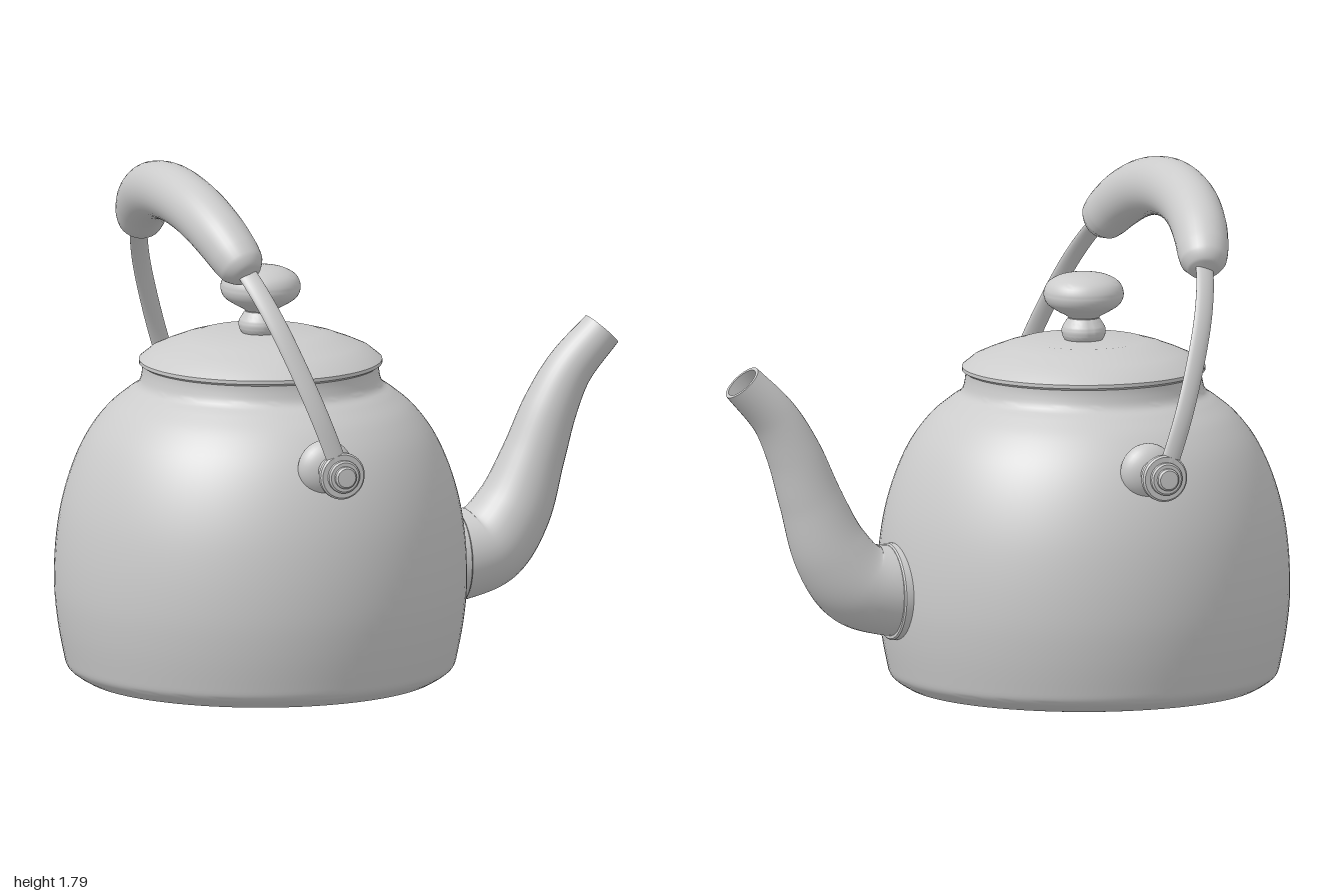
import * as THREE from 'three';
import { toCreasedNormals } from 'three/addons/utils/BufferGeometryUtils.js';

const AXIS = -0.3; // x of the pot's centre line
const TILT = 0.352; // lean of the handle
const material = new THREE.MeshStandardMaterial({ color: 0xcccccc });
const inside = new THREE.MeshStandardMaterial({ color: 0xcccccc, side: THREE.BackSide });
const both = new THREE.MeshStandardMaterial({ color: 0xcccccc, side: THREE.DoubleSide });

function part(parent, name, geometry, mat = material) {
  const mesh = new THREE.Mesh(geometry, mat);
  mesh.name = name;
  parent.add(mesh);
  return mesh;
}

// Turned shape from [radius, height] pairs, listed bottom to top
function turned(points, segments = 72) {
  const profile = points.map(([r, y]) => new THREE.Vector2(r, y));
  return toCreasedNormals(new THREE.LatheGeometry(profile, segments), 0.6);
}

// Rounds a coarse profile with a spline
function smooth(points, n) {
  const curve = new THREE.SplineCurve(points.map(([r, y]) => new THREE.Vector2(r, y)));
  return curve.getPoints(n).map((p) => [Math.max(p.x, 0), p.y]);
}

// Sweeps an oval along a planar path; side is the plane's normal.
// Each radius pair is [in the plane, along side].
function sweep(path, radii, side, steps = 64, sides = 32) {
  const curve = new THREE.CatmullRomCurve3(path);
  const sizes = new THREE.CatmullRomCurve3(radii.map(([a, b]) => new THREE.Vector3(a, b, 0)));
  const pos = [], index = [];
  for (let i = 0; i <= steps; i++) {
    const p = curve.getPoint(i / steps), s = sizes.getPoint(i / steps);
    const n = new THREE.Vector3().crossVectors(side, curve.getTangent(i / steps)).normalize();
    for (let j = 0; j < sides; j++) {
      const a = (j / sides) * Math.PI * 2;
      const v = p.clone().addScaledVector(n, s.x * Math.cos(a)).addScaledVector(side, s.y * Math.sin(a));
      pos.push(v.x, v.y, v.z);
      if (i === steps) continue;
      const k = i * sides, m = (j + 1) % sides;
      index.push(k + j, k + m, k + sides + j, k + m, k + sides + m, k + sides + j);
    }
  }
  const geo = new THREE.BufferGeometry();
  geo.setAttribute('position', new THREE.Float32BufferAttribute(pos, 3));
  geo.setIndex(index);
  geo.computeVertexNormals();
  return geo;
}

export function createModel() {
  const model = new THREE.Group();
  model.name = 'kettle';

  // Pot with a shallow recessed base and a short collar
  const pot = new THREE.Group();
  pot.name = 'pot';
  pot.position.x = AXIS;
  model.add(pot);
  const wall = smooth([[0.625, 0.02], [0.655, 0.045], [0.668, 0.09], [0.688, 0.2], [0.699, 0.32], [0.695, 0.46],
    [0.675, 0.6], [0.637, 0.73], [0.585, 0.84], [0.52, 0.925], [0.455, 0.98], [0.415, 1.01], [0.402, 1.05], [0.4, 1.09]], 60);
  part(pot, 'body', turned([[0, 0.008], [0.56, 0.008], [0.565, 0], [0.6, 0.006], ...wall, [0, 1.09]], 96));

  // Lid and knob
  part(pot, 'lid', turned([[0, 1.075], [0.4, 1.075], [0.412, 1.083], [0.412, 1.095], [0.375, 1.125],
    [0.33, 1.145], [0.27, 1.168], [0.21, 1.185], [0, 1.187]], 96));
  part(pot, 'knob', turned(smooth([[0.06, 1.18], [0.072, 1.2], [0.074, 1.225], [0.06, 1.25], [0.055, 1.265],
    [0.09, 1.285], [0.125, 1.31], [0.136, 1.345], [0.122, 1.38], [0.085, 1.403], [0.04, 1.413], [0, 1.415]], 48), 48));

  // Curved hollow spout
  const spout = new THREE.Group();
  spout.name = 'spout';
  model.add(spout);
  const path = [[0.34, 0.362], [0.42, 0.368], [0.525, 0.4], [0.615, 0.51], [0.69, 0.69], [0.75, 0.85],
    [0.82, 0.98], [0.94, 1.11]].map(([x, y]) => new THREE.Vector3(x, y, 0));
  const radii = [0.155, 0.153, 0.147, 0.132, 0.108, 0.094, 0.081, 0.071];
  const sideways = new THREE.Vector3(0, 0, 1);
  part(spout, 'spoutOuter', sweep(path, radii.map((r) => [r, r]), sideways));
  part(spout, 'spoutInner', sweep(path, radii.map((r) => [r - 0.012, r - 0.012]), sideways), inside);
  const lip = part(spout, 'spoutLip', new THREE.RingGeometry(0.059, 0.071, 32), both);
  lip.position.copy(path[7]);
  lip.lookAt(path[7].clone().add(new THREE.CatmullRomCurve3(path).getTangent(1)));
  const flange = part(spout, 'spoutFlange', turned([[0.165, 0], [0.165, 0.045], [0.16, 0.05], [0.14, 0.05]], 48));
  flange.rotation.z = -Math.PI / 2;
  flange.position.set(0.36, 0.362, 0);

  // Handle mounts on both sides: ball, pin, washer and rivet
  for (const s of [1, -1]) {
    const mount = new THREE.Group();
    mount.name = s > 0 ? 'frontMount' : 'backMount';
    mount.position.set(AXIS, 0.825, 0);
    mount.rotation.x = (s * Math.PI) / 2;
    model.add(mount);
    const ball = part(mount, 'ball', new THREE.SphereGeometry(0.096, 32, 20));
    ball.scale.y = 0.64;
    ball.position.y = 0.6;
    part(mount, 'pin', turned([[0.045, 0.62], [0.045, 0.74]], 32));
    part(mount, 'washer', turned([[0, 0.742], [0.074, 0.742], [0.08, 0.748], [0.08, 0.764], [0.074, 0.77], [0, 0.77]], 40));
    part(mount, 'rivet', turned([[0.056, 0.765], [0.056, 0.782], [0.05, 0.787], [0.038, 0.787], [0.038, 0.798],
      [0.032, 0.804], [0, 0.805]], 32));
  }

  // Leaning handle: flat straps and a thick rounded grip
  const handle = new THREE.Group();
  handle.name = 'handle';
  handle.position.set(AXIS, 0.825, 0);
  handle.rotation.z = TILT;
  model.add(handle);
  const across = new THREE.Vector3(1, 0, 0);
  // Heights are upright ones, stretched here along the lean
  const inPlane = ([z, y]) => new THREE.Vector3(0, (y - 0.825) / Math.cos(TILT), z);
  const strap = [[0.756, 0.81], [0.756, 0.9], [0.742, 1.03], [0.7, 1.18], [0.635, 1.33], [0.56, 1.435], [0.47, 1.52]];
  for (const s of [1, -1]) {
    part(handle, s > 0 ? 'frontStrap' : 'backStrap',
      sweep(strap.map(([z, y]) => inPlane([s * z, y])), strap.map(() => [0.014, 0.033]), across, 48, 20));
  }
  const half = [[0.12, 1.676], [0.24, 1.649], [0.36, 1.596], [0.44, 1.54], [0.475, 1.51], [0.497, 1.487], [0.505, 1.479]];
  const halfSizes = [0.1, 0.099, 0.096, 0.09, 0.081, 0.055, 0.018];
  const gripPath = [...half.map(([z, y]) => [-z, y]).reverse(), [0, 1.685], ...half].map(inPlane);
  const gripSizes = [...halfSizes.slice().reverse(), 0.101, ...halfSizes].map((r) => [r, r * 0.95]);
  part(handle, 'grip', sweep(gripPath, gripSizes, across, 98, 32));

  return model;
}
